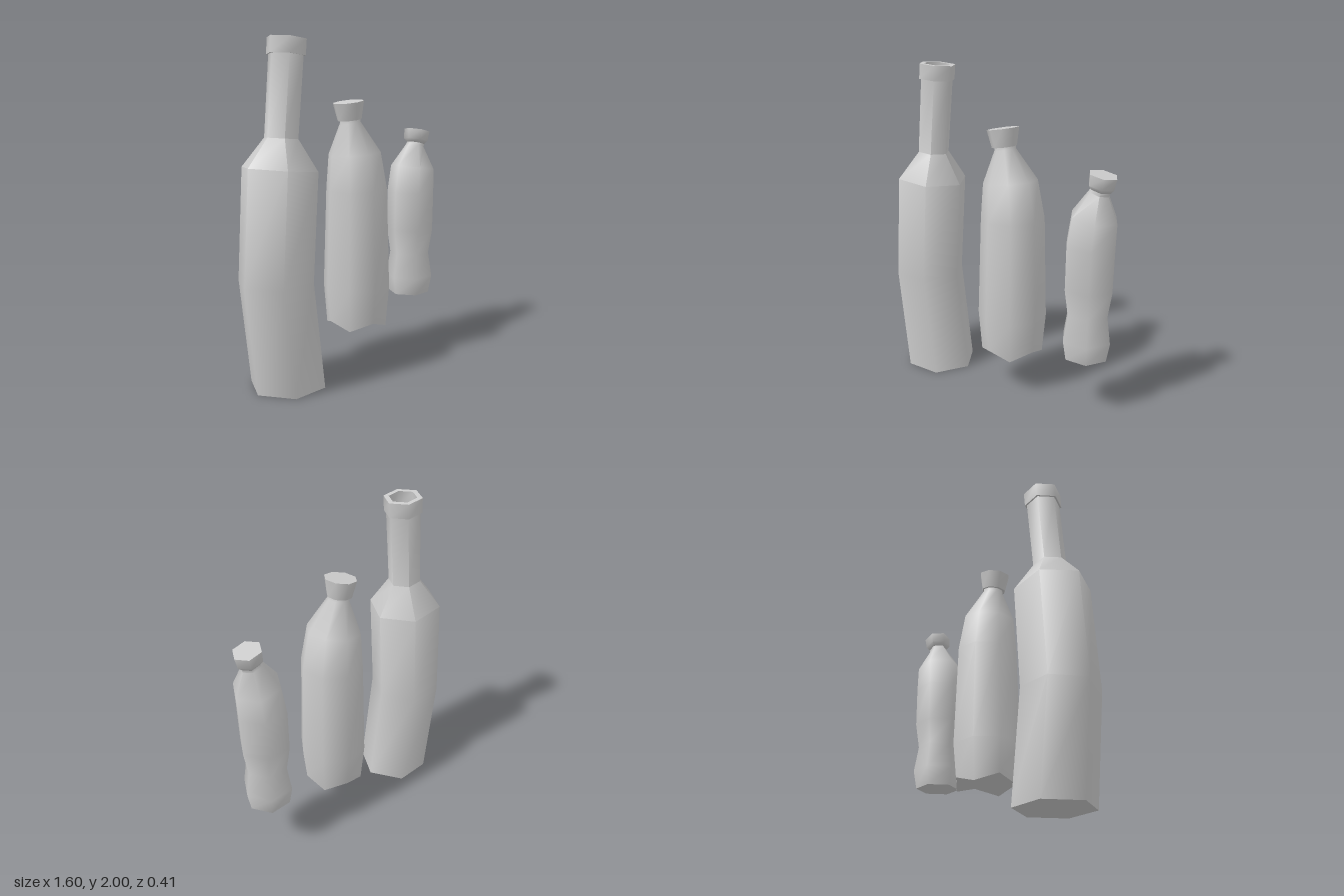
import * as THREE from 'three';
import { toCreasedNormals } from 'three/addons/utils/BufferGeometryUtils.js';

const CREASE = 1.12; // keeps rims sharp while the sides stay smooth

// Loft through tilted polygon rings, listed from bottom to top.
// Each ring is [leftX, leftY, rightX, rightY], its extremes in the xy plane.
function loft(name, rings, { sides = 6, turn = 0, bottom = true, top = true, foot = 0 } = {}) {
  const pos = [], index = [];
  rings.forEach(([x0, y0, x1, y1], k) => {
    const hx = (x1 - x0) / 2 / Math.cos(turn), hy = (y1 - y0) / 2 / Math.cos(turn);
    const r = Math.hypot(hx, hy);
    for (let i = 0; i < sides; i++) {
      const a = turn + (i / sides) * Math.PI * 2;
      const drop = k === 0 && i % 2 ? foot : 0; // alternate corners form feet
      pos.push((x0 + x1) / 2 + hx * Math.cos(a), (y0 + y1) / 2 + hy * Math.cos(a) - drop, r * Math.sin(a));
    }
  });
  for (let k = 0; k < rings.length - 1; k++) {
    for (let i = 0; i < sides; i++) {
      const a = k * sides + i, b = k * sides + (i + 1) % sides;
      index.push(a, a + sides, b, b, a + sides, b + sides);
    }
  }
  const close = (k, up) => {
    const [x0, y0, x1, y1] = rings[k];
    const c = pos.length / 3;
    pos.push((x0 + x1) / 2, (y0 + y1) / 2 - (up ? 0 : foot / 2), 0);
    for (let i = 0; i < sides; i++) {
      const a = k * sides + i, b = k * sides + (i + 1) % sides;
      index.push(c, up ? b : a, up ? a : b);
    }
  };
  if (bottom) close(0, false);
  if (top) close(rings.length - 1, true);

  const geo = new THREE.BufferGeometry();
  geo.setAttribute('position', new THREE.Float32BufferAttribute(pos, 3));
  geo.setIndex(index);
  const mesh = new THREE.Mesh(
    toCreasedNormals(geo, CREASE),
    new THREE.MeshStandardMaterial({ color: 0xcccccc })
  );
  mesh.name = name;
  return mesh;
}

function bottle(name, ...parts) {
  const g = new THREE.Group();
  g.name = name;
  g.add(...parts);
  return g;
}

export function createModel() {
  const model = new THREE.Group();
  model.name = 'bottles';

  // Tall bent bottle with a long neck and an open lip
  const tall = bottle('tallBottle',
    loft('tallBody', [
      [-0.72, 0, -0.265, 0],
      [-0.80, 0.63, -0.35, 0.64],
      [-0.76, 1.29, -0.31, 1.25],
      [-0.62, 1.45, -0.42, 1.435],
      [-0.58, 1.91, -0.375, 1.895],
    ]),
    loft('tallLip', [
      [-0.58, 1.908, -0.375, 1.892],
      [-0.592, 1.908, -0.363, 1.89],
      [-0.587, 2.0, -0.355, 1.98],
      [-0.555, 1.998, -0.387, 1.983],
      [-0.56, 1.905, -0.392, 1.89],
    ], { bottom: false, top: false }));

  // Eight-sided bottle with a footed base and flared stopper
  const oct = { sides: 8, turn: THREE.MathUtils.degToRad(14) };
  const middle = bottle('middleBottle',
    loft('middleBody', [
      [-0.087, 0.28, 0.282, 0.28],
      [-0.108, 0.49, 0.303, 0.48],
      [-0.09, 1.1, 0.285, 1.11],
      [-0.08, 1.31, 0.238, 1.345],
      [-0.022, 1.505, 0.103, 1.525],
      [-0.022, 1.535, 0.1, 1.55],
    ], { ...oct, foot: 0.045 }),
    loft('middleStopper', [
      [-0.038, 1.522, 0.107, 1.543],
      [-0.07, 1.626, 0.117, 1.655],
    ], oct));

  // Small waisted bottle with a screw cap
  const small = bottle('smallBottle',
    loft('smallBody', [
      [0.495, 0.345, 0.765, 0.345],
      [0.475, 0.46, 0.787, 0.46],
      [0.502, 0.62, 0.762, 0.62],
      [0.477, 0.785, 0.787, 0.775],
      [0.48, 1.04, 0.792, 1.03],
      [0.51, 1.22, 0.797, 1.18],
      [0.62, 1.36, 0.737, 1.327],
      [0.63, 1.375, 0.745, 1.347],
    ]),
    loft('smallCap', [
      [0.628, 1.375, 0.746, 1.347],
      [0.61, 1.4, 0.767, 1.367],
      [0.615, 1.465, 0.783, 1.43],
    ]));

  model.add(tall, middle, small);
  return model;
}
